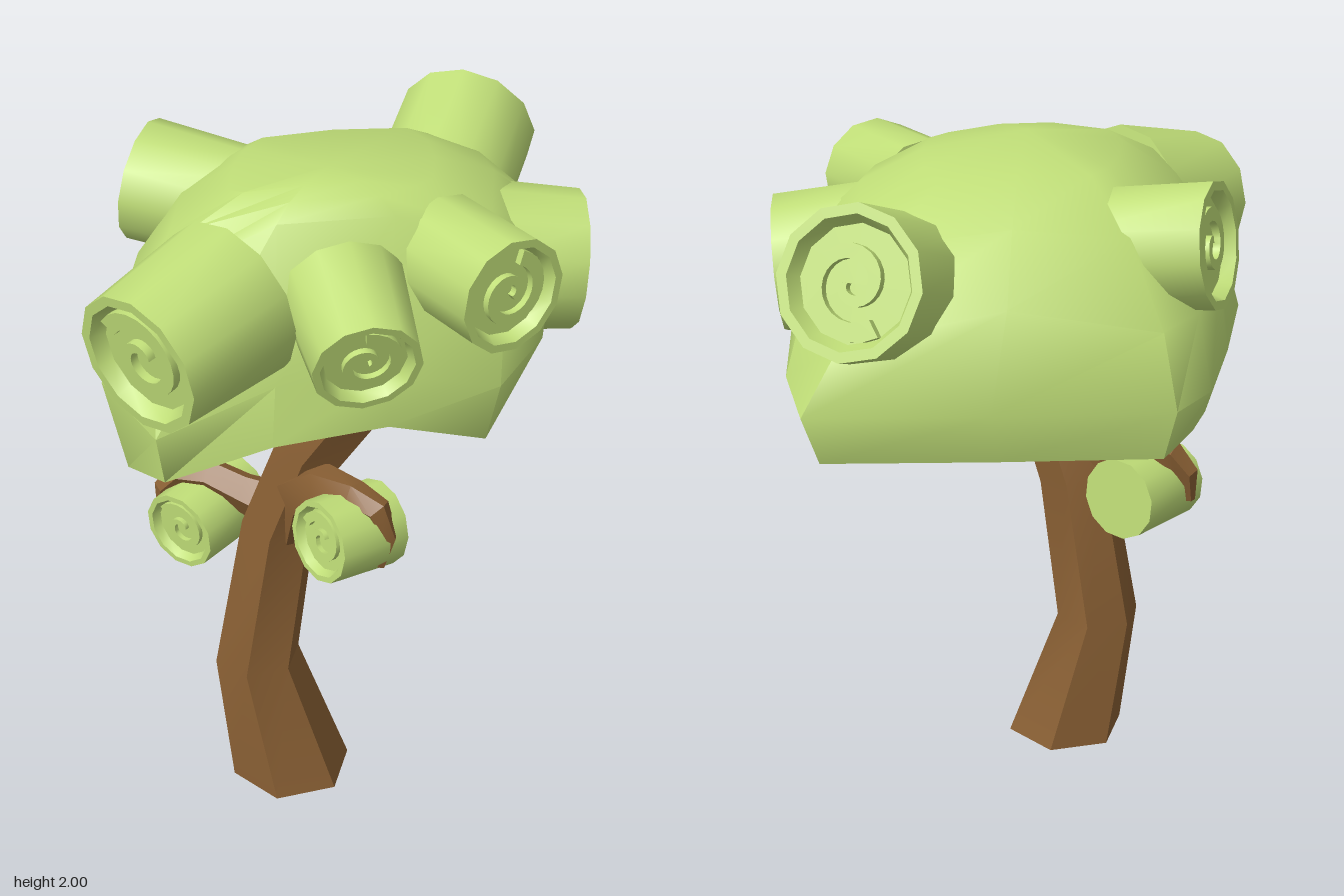
import * as THREE from 'three';
import { toCreasedNormals } from 'three/addons/utils/BufferGeometryUtils.js';

const V = (x, y, z) => new THREE.Vector3(x, y, z);
const leaf = new THREE.MeshStandardMaterial({ color: 0xc0de78 });
const bark = new THREE.MeshStandardMaterial({ color: 0x8a6034 });

function mesh(name, geometry, material) {
  const m = new THREE.Mesh(geometry, material);
  m.name = name;
  return m;
}

// Skin through rings of equal point count; a ring may collapse to one point
function loft(rings, crease) {
  const pos = [], t = new THREE.Triangle();
  const tri = (a, b, c) => {
    if (t.set(a, b, c).getArea() > 1e-7) pos.push(...a.toArray(), ...b.toArray(), ...c.toArray());
  };
  for (let i = 0; i + 1 < rings.length; i++) {
    const lo = rings[i], hi = rings[i + 1], n = lo.length;
    for (let j = 0; j < n; j++) {
      const k = (j + 1) % n;
      tri(lo[j], lo[k], hi[k]);
      tri(lo[j], hi[k], hi[j]);
    }
  }
  const g = new THREE.BufferGeometry();
  g.setAttribute('position', new THREE.Float32BufferAttribute(pos, 3));
  return toCreasedNormals(g, crease);
}

// Tapered limb along [x, y, z, radius] sections, square to the path
function limb(sections, sides) {
  const pts = sections.map(s => V(s[0], s[1], s[2]));
  const rings = sections.map((s, i) => {
    const tan = pts[Math.min(i + 1, pts.length - 1)].clone().sub(pts[Math.max(i - 1, 0)]).normalize();
    if (s[1] === 0) tan.set(0, 1, 0);
    const ref = Math.abs(tan.z) > 0.9 ? V(0, 1, 0) : V(0, 0, 1);
    const u = ref.addScaledVector(tan, -ref.dot(tan)).normalize();
    const v = tan.clone().cross(u);
    return Array.from({ length: sides }, (_, j) => {
      const a = (j + 0.1) / sides * Math.PI * 2;
      return pts[i].clone().addScaledVector(u, s[3] * Math.cos(a)).addScaledVector(v, s[3] * Math.sin(a));
    });
  });
  rings.unshift(rings[0].map(() => pts[0]));
  rings.push(rings[0].map(() => pts[pts.length - 1]));
  return loft(rings, 0.4);
}

// Raised spiral ribbon lying in a recess of the given radius
function spiral(radius, depth) {
  const outer = [], inner = [], steps = 30;
  for (let i = 0; i <= steps; i++) {
    const t = i / steps, a = t * Math.PI * 2.7;
    const r = radius * (0.14 + 0.72 * t), w = radius * (0.08 + 0.09 * t);
    outer.push(new THREE.Vector2(Math.cos(a) * (r + w), Math.sin(a) * (r + w)));
    inner.push(new THREE.Vector2(Math.cos(a) * (r - w), Math.sin(a) * (r - w)));
  }
  const shape = new THREE.Shape([...outer, ...inner.reverse()]);
  const g = new THREE.ExtrudeGeometry(shape, { depth, bevelEnabled: false }).rotateX(-Math.PI / 2);
  return toCreasedNormals(g, 0.6);
}

// Round stub with a rimmed, recessed end that holds a spiral
function curlStub(name, tip, dir, length, rTip, rBase) {
  const g = new THREE.Group();
  g.name = name;
  const d = rTip * 0.2;
  const profile = [[0, -length], [rBase, -length], [rTip, 0], [rTip * 0.86, 0], [rTip * 0.76, -d], [0, -d]]
    .map(p => new THREE.Vector2(...p));
  const body = toCreasedNormals(new THREE.LatheGeometry(profile, 12), 0.6);
  const curl = mesh(name + 'Spiral', spiral(rTip * 0.74, d * 0.6), leaf);
  curl.position.y = -d;
  g.add(mesh(name + 'Body', body, leaf), curl);
  g.position.set(...tip);
  g.quaternion.setFromUnitVectors(V(0, 1, 0), V(...dir).normalize());
  return g;
}

function canopyGeometry() {
  // Around the crown: rim, belly and shoulder points per station
  const stations = [
    [-.47, 1.18, .53, -.55, 1.42, .50, -.50, 1.65, .45],
    [-.32, 1.21, .62, -.30, 1.40, .71, -.38, 1.77, .52],
    [-.02, 1.35, .57, -.02, 1.52, .54, -.06, 1.93, .40],
    [.25, 1.36, .38, .25, 1.52, .38, .22, 1.93, .25],
    [.48, 1.27, .21, .52, 1.45, .22, .50, 1.74, .12],
    [.50, 1.32, -.05, .58, 1.50, .00, .56, 1.73, -.02],
    [.45, 1.41, -.35, .52, 1.52, -.35, .49, 1.77, -.30],
    [.33, 1.36, -.65, .39, 1.47, -.65, .36, 1.68, -.57],
    [.22, 1.30, -.80, .24, 1.45, -.86, .18, 1.62, -.74],
    [-.20, 1.28, -.57, -.20, 1.43, -.62, -.21, 1.70, -.53],
    [-.60, 1.27, -.36, -.64, 1.42, -.38, -.58, 1.62, -.33],
    [-.60, 1.25, -.10, -.68, 1.42, -.20, -.62, 1.62, -.14],
    [-.57, 1.22, .12, -.63, 1.42, .12, -.60, 1.63, .10],
  ];
  const [rim, belly, shoulder] = [0, 3, 6].map(o => stations.map(s => V(s[o], s[o + 1], s[o + 2])));
  const hollow = V(0, 1.45, 0), top = V(0, 2, 0.14);
  const dome = (k, rise) => shoulder.map(p =>
    V(p.x + (top.x - p.x) * k, p.y + (top.y - p.y) * rise, p.z + (top.z - p.z) * k));
  return loft([
    rim.map(() => hollow),
    rim.map(p => p.clone().lerp(hollow, 0.5).add(V(0, 0.04, 0))),
    rim, belly, shoulder,
    dome(0.24, 0.56), dome(0.52, 0.88),
    rim.map(() => top),
  ], 0.8);
}

export function createModel() {
  const model = new THREE.Group();
  model.name = 'tree';

  // Leaning trunk
  model.add(mesh('trunk', limb([
    [-.10, 0, .25, .185], [-.195, .42, .275, .13], [-.125, .9, .25, .115],
    [-.01, 1.2, .275, .11], [.15, 1.44, .3, .11],
  ], 6), bark));

  // Twigs hooked over the hanging stubs
  model.add(mesh('rightTwig', limb([
    [-.12, .95, .25, .08], [-.24, .98, .25, .06], [-.34, 1.015, .25, .055],
    [-.43, 1.005, .25, .05], [-.48, .95, .26, .035], [-.49, .86, .27, .015],
  ], 5), bark));
  model.add(mesh('leftTwig', limb([
    [-.08, .88, .26, .07], [-.02, 1.06, .32, .085], [.07, 1.15, .4, .06], [.18, 1.17, .46, .045],
    [.25, 1.15, .48, .04], [.28, 1.07, .48, .03], [.26, .97, .48, .015],
  ], 5), bark));

  // Crown
  model.add(mesh('canopy', canopyGeometry(), leaf));

  // Stubs: name, tip centre, facing, length, tip radius, base radius
  const stubs = [
    ['frontRightStub', [-.315, 1.655, .77], [-.38, -.16, .9], .36, .205, .235],
    ['frontStub', [.25, 1.64, .57], [.5, -.3, .82], .3, .15, .175],
    ['frontLeftStub', [.565, 1.77, .3], [.8, -.03, .6], .32, .165, .165],
    ['leftStub', [.61, 1.64, -.24], [.9, -.08, -.38], .26, .2, .215],
    ['backStub', [.145, 1.8, -.745], [0, .35, -.93], .46, .21, .21],
    ['rightStub', [-.645, 1.79, -.06], [-.99, .14, 0], .42, .18, .17],
    ['rightHangingStub', [-.395, .88, .37], [-.3, -.06, .93], .27, .12, .125],
    ['leftHangingStub', [.105, 1.065, .56], [-.55, .08, .83], .22, .12, .125],
  ];
  for (const s of stubs) model.add(curlStub(...s));
  return model;
}
